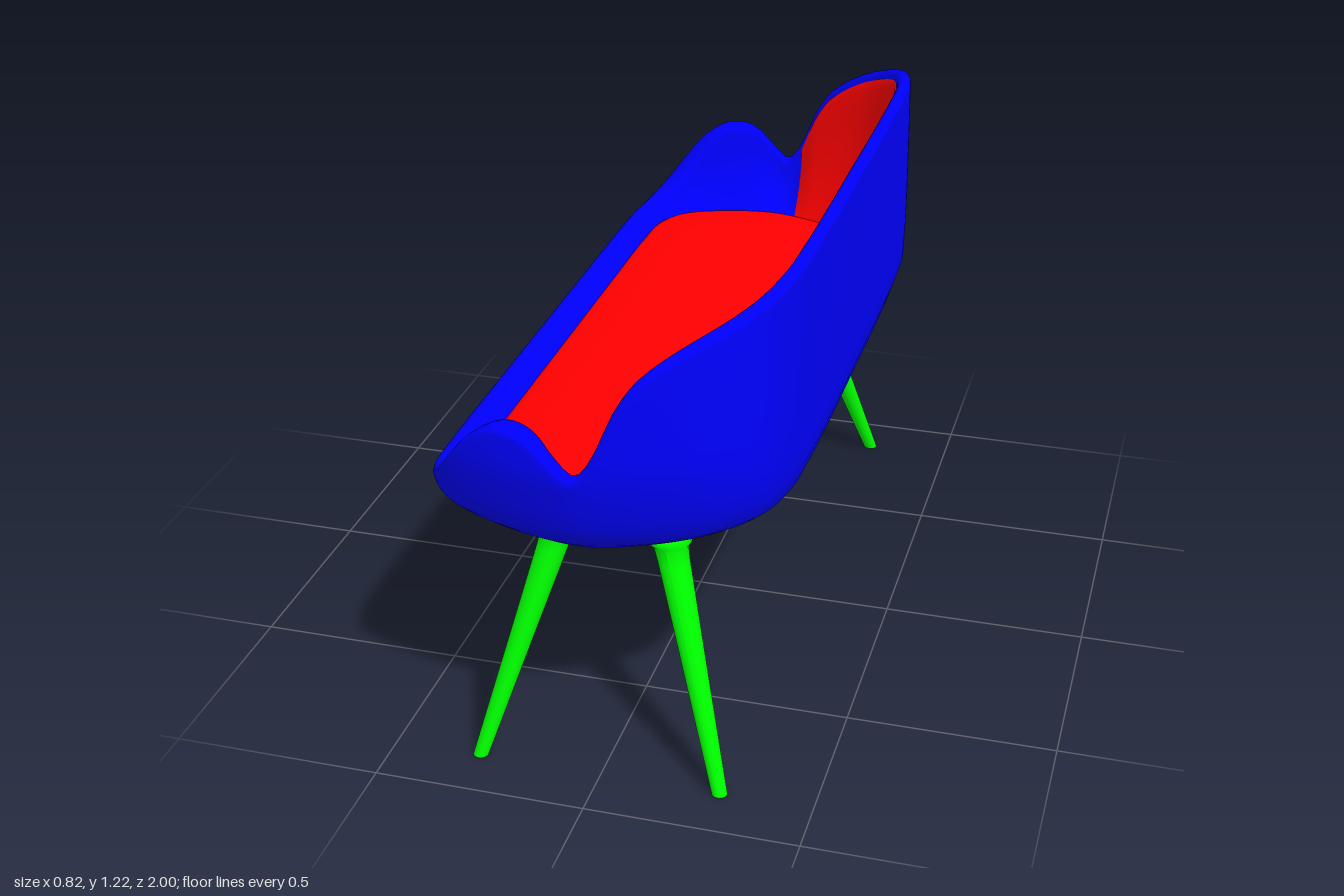
import * as THREE from 'three';

const N = 256, HALF_X = 0.408, SEAT_Y = 0.7;
const { lerp, smoothstep } = THREE.MathUtils;

// Smooth interpolation through [x, y] pairs
function spline(pts) {
  const slope = pts.map((p, i) => {
    const a = pts[Math.max(i - 1, 0)], b = pts[Math.min(i + 1, pts.length - 1)];
    return (b[1] - a[1]) / (b[0] - a[0]);
  });
  return (x) => {
    x = Math.min(Math.max(x, pts[0][0]), pts[pts.length - 1][0]);
    let i = 0;
    while (i < pts.length - 2 && x > pts[i + 1][0]) i++;
    const [x0, y0] = pts[i], [x1, y1] = pts[i + 1], h = x1 - x0, t = (x - x0) / h;
    const t2 = t * t, t3 = t2 * t;
    return y0 * (2 * t3 - 3 * t2 + 1) + y1 * (3 * t2 - 2 * t3)
      + h * (slope[i] * (t3 - 2 * t2 + t) + slope[i + 1] * (t3 - t2));
  };
}

// Height of the rim: low front edge, armrest bump, notch, then the backrest
const rimHeight = spline([[-0.41, 0.722], [-0.39, 0.733], [-0.35, 0.775], [-0.27, 0.88], [-0.21, 0.927],
  [-0.16, 0.936], [-0.11, 0.922], [-0.06, 0.875], [-0.01, 0.836], [0.03, 0.88], [0.08, 0.99],
  [0.13, 1.06], [0.22, 1.125], [0.32, 1.175], [0.405, 1.216]]);
// How far the outer wall is drawn in at each height, across and along
const insetX = spline([[0.54, 0.3], [0.565, 0.205], [0.61, 0.105], [0.655, 0.033], [0.685, 0.006], [0.72, 0], [1.22, 0.003]]);
const insetZ = spline([[0.54, 0.31], [0.565, 0.215], [0.61, 0.12], [0.655, 0.067], [0.7, 0.042], [0.77, 0.018], [0.85, 0], [1.22, 0]]);

// Plan outline, mirrored front to back along z
function planOutline() {
  const half = [[-0.41, 0], [-0.41, 0.4], [-0.408, 0.7], [-0.397, 0.83], [-0.345, 0.915], [-0.2, 0.978], [-0.05, 1],
    [0.03, 0.99], [0.15, 0.95], [0.27, 0.885], [0.355, 0.79], [0.392, 0.66], [0.402, 0.5], [0.405, 0.3], [0.405, 0]];
  const mirrored = half.slice(1, -1).reverse().map(([x, z]) => [x, -z]);
  const curve = new THREE.CatmullRomCurve3([...half, ...mirrored].map(([x, z]) => new THREE.Vector3(x, 0, z)), true);
  return curve.getSpacedPoints(N).slice(0, N);
}

const place = (p, dx, dz, y) => [p.x * (1 - dx / HALF_X), y, p.z * (1 - dz)];

// Surface from columns of points, one column per outline point
function loft(columns, closed) {
  const rows = columns[0].length, n = columns.length, index = [];
  for (let i = 0; i < (closed ? n : n - 1); i++) {
    for (let j = 0; j < rows - 1; j++) {
      const a = i * rows + j, b = ((i + 1) % n) * rows + j;
      index.push(a, b, b + 1, a, b + 1, a + 1);
    }
  }
  const g = new THREE.BufferGeometry();
  g.setAttribute('position', new THREE.Float32BufferAttribute(columns.flat(2), 3));
  g.setIndex(index);
  g.computeVertexNormals();
  return g;
}

// Rim is broad along the front and slim around the backrest
const LIP = 0.018;
const rimWidth = (p) => lerp(0.06, 0.034, smoothstep(p.x, -0.2, 0.03));
const seatInset = (p) => lerp(0.078, 0.06, smoothstep(p.x, -0.2, 0.3));

// Inner face of the wall, t = 0 under the rim to t = 1 at the seat
function innerWall(p, t, puff = 0, drop = 0) {
  const top = rimHeight(p.x) - LIP, rim = rimWidth(p);
  const dx = lerp(insetX(top) + rim, seatInset(p), t), dz = lerp(insetZ(top) + rim, 0.11, t * t);
  return place(p, dx + puff, dz + puff, lerp(top - drop, SEAT_Y - 0.014, t));
}

function shellColumn(p) {
  const col = [place(p, HALF_X, 0.42, 0.54)];
  const wall = (y) => col.push(place(p, insetX(y), insetZ(y), y));
  for (const y of [0.54, 0.545, 0.555, 0.57, 0.59, 0.61, 0.63, 0.65, 0.67]) wall(y);
  const top = rimHeight(p.x) - LIP;
  for (let k = 1; k <= 10; k++) wall(lerp(0.67, top, k / 10));
  // rounded rim
  for (let k = 1; k < 8; k++) {
    const a = (Math.PI * k) / 8, d = (rimWidth(p) * (1 - Math.cos(a))) / 2;
    col.push(place(p, insetX(top) + d, insetZ(top) + d, top + LIP * Math.sin(a)));
  }
  for (let k = 0; k <= 8; k++) col.push(innerWall(p, k / 8));
  return col;
}

// Seat cushion with a softly rounded edge
function seatColumn(p) {
  const rings = [[-0.003, -0.014], [0, -0.004], [0.008, 0.002], [0.025, 0.005], [0.12, 0.007]];
  const col = rings.map(([d, y]) => place(p, seatInset(p) + d, 0.11 + d, SEAT_Y + y));
  return [...col, place(p, HALF_X, 0.42, SEAT_Y + 0.007)];
}

// Padded lining of the backrest, thinning to nothing at its edges
function liningColumn(p, i, all) {
  const side = Math.min(1, Math.min(i, all.length - 1 - i) / 2);
  return Array.from({ length: 15 }, (_, k) => {
    const edge = Math.sqrt(Math.min(1, k / 4));
    return innerWall(p, (k / 14) ** 1.5, 0.001 + 0.009 * edge * side, 0.006);
  });
}

// Tapered leg with a collar disc, sheared outwards so the foot stays level
function legGeometry(topX, topZ, footX, footZ) {
  const profile = [[0, 0], [0.018, 0], [0.018, 0.001], [0.029, 0.3], [0.037, 0.5], [0.04, 0.535],
    [0.051, 0.547], [0.052, 0.562], [0, 0.566]].map(([r, y]) => new THREE.Vector2(r, y));
  const g = new THREE.LatheGeometry(profile, 28);
  const pos = g.attributes.position;
  for (let i = 0; i < pos.count; i++) {
    const t = pos.getY(i) / 0.55;
    pos.setX(i, pos.getX(i) + lerp(footX, topX, t));
    pos.setZ(i, pos.getZ(i) + lerp(footZ, topZ, t));
  }
  g.computeVertexNormals();
  return g;
}

export function createModel() {
  const group = new THREE.Group();
  const paint = (color) => new THREE.MeshStandardMaterial({ color, side: THREE.DoubleSide });
  const blue = paint(0x0000ff), red = paint(0xff0000), green = paint(0x00ff00);
  const add = (name, geometry, material) => {
    const mesh = new THREE.Mesh(geometry, material);
    mesh.name = name;
    group.add(mesh);
  };

  const outline = planOutline();
  add('shell', loft(outline.map(shellColumn), true), blue);
  add('seatCushion', loft(outline.map(seatColumn), true), red);
  add('backLining', loft(outline.filter((p) => p.x > 0.035).map(liningColumn), false), red);

  for (const side of [-1, 1]) {
    const end = side > 0 ? 'Left' : 'Right';
    add('seatSideLeg' + end, legGeometry(-0.14, side * 0.695, -0.293, side * 0.866), green);
    add('backSideLeg' + end, legGeometry(0.118, side * 0.695, 0.282, side * 0.866), green);
  }
  return group;
}
